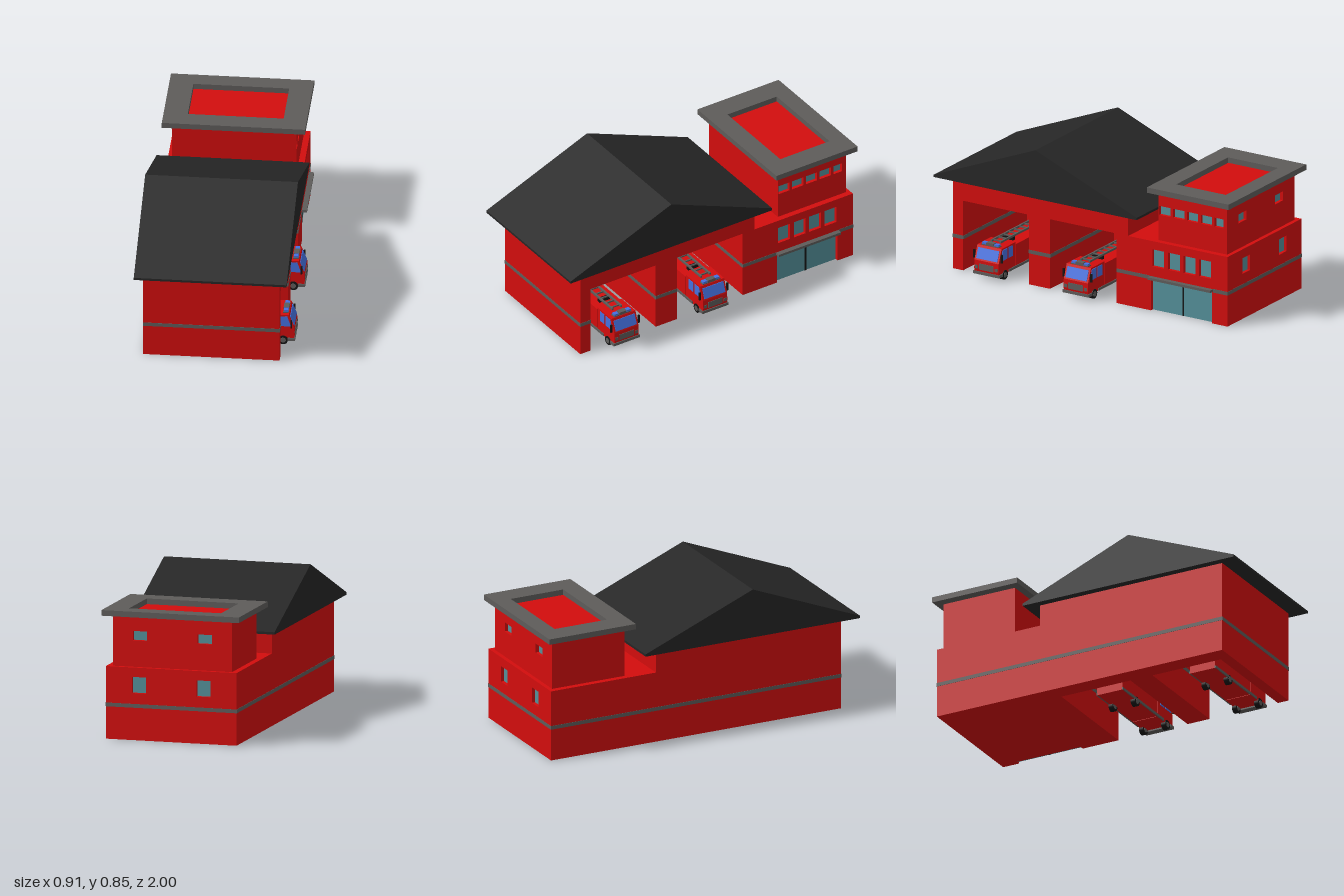
import * as THREE from 'three';

const mat = (name, color) => Object.assign(new THREE.MeshStandardMaterial({ color }), { name });
const M = {
  red: mat('red', 0xd20d0d), roof: mat('roofBlack', 0x262626), grey: mat('trimGrey', 0x5e5c5a),
  glass: mat('tealGlass', 0x549099), blue: mat('blueGlass', 0x4470e0), black: mat('rubberBlack', 0x141414),
};

function add(group, name, geometry, material) {
  const mesh = new THREE.Mesh(geometry, material);
  mesh.name = name;
  group.add(mesh);
  return mesh;
}

// Box given by its limits
function box(group, name, material, x0, x1, y0, y1, z0, z1) {
  const g = new THREE.BoxGeometry(x1 - x0, y1 - y0, z1 - z0);
  g.translate((x0 + x1) / 2, (y0 + y1) / 2, (z0 + z1) / 2);
  return add(group, name, g, material);
}

function shapeOf(points, holes = []) {
  const shape = new THREE.Shape(points.map(p => new THREE.Vector2(...p)));
  for (const [a0, a1, b0, b1] of holes) {
    shape.holes.push(new THREE.Path([[a0, b0], [a1, b0], [a1, b1], [a0, b1]].map(p => new THREE.Vector2(...p))));
  }
  return shape;
}

// Profile in (z, y), extruded along x
function sideSlab(group, name, material, points, x0, x1, holes = []) {
  const shape = shapeOf(points.map(([z, y]) => [-z, y]), holes.map(([a, b, c, d]) => [-b, -a, c, d]));
  const g = new THREE.ExtrudeGeometry(shape, { depth: x1 - x0, bevelEnabled: false });
  g.rotateY(Math.PI / 2).translate(x0, 0, 0);
  return add(group, name, g, material);
}

// Profile in (x, y), extruded along z
function frontSlab(group, name, material, points, z0, z1, holes = []) {
  const g = new THREE.ExtrudeGeometry(shapeOf(points, holes), { depth: z1 - z0, bevelEnabled: false });
  g.translate(0, 0, z0);
  return add(group, name, g, material);
}

const rect = (a0, a1, b0, b1) => [[a0, b0], [a1, b0], [a1, b1], [a0, b1]];
const openings = (centres, w, y0, y1) => centres.map(c => [c - w / 2, c + w / 2, y0, y1]);

const L = -0.41, R = 0.38, SKIN = 0.025, BAY_BACK = -0.3;
const BAYS = [[-0.22, 0.235], [0.38, 0.83]];
const DOOR = [-0.875, -0.455];
const BACK_X = [-0.21, 0.18];

function buildHall(root) {
  const g = new THREE.Group();
  g.name = 'mainBuilding';
  root.add(g);
  const notch = ([a, b], h) => [[a, 0], [a, h], [b, h], [b, 0]];
  const outline = lower => [[-0.955, 0], ...lower, [0.9, 0], [0.9, 0.555], [-0.3, 0.555], [-0.3, 0.425], [-0.955, 0.425]];
  const bayNotches = BAYS.flatMap(b => notch(b, 0.425));
  const lowWindows = openings([-0.505, -0.613, -0.719, -0.826], 0.08, 0.27, 0.375);
  const backWindows = openings(BACK_X, 0.085, 0.275, 0.37);

  // Solid side wall, hollow middle and pierced street wall
  sideSlab(g, 'closedSideWall', M.red, outline([]), L, BAY_BACK);
  sideSlab(g, 'bayWalls', M.red, outline(bayNotches), BAY_BACK, R - SKIN);
  sideSlab(g, 'streetWall', M.red, outline([...notch(DOOR, 0.195), ...bayNotches]), R - SKIN, R, lowWindows);
  frontSlab(g, 'backWall', M.red, rect(L, R, 0, 0.425), -0.98, -0.955, backWindows);

  // Glazing and entrance
  for (const [z0, z1, y0, y1] of lowWindows) box(g, 'officeWindow', M.glass, R - SKIN, R - SKIN + 0.005, y0, y1, z0, z1);
  for (const [x0, x1, y0, y1] of backWindows) box(g, 'backWindow', M.glass, x0, x1, y0, y1, -0.96, -0.955);
  box(g, 'entranceDoor', M.glass, R - SKIN, R - SKIN + 0.005, 0, 0.195, ...DOOR);
  box(g, 'doorMullion', M.black, R - SKIN, R - SKIN + 0.009, 0, 0.195, -0.67, -0.66);
  box(g, 'entranceCanopy', M.grey, R - SKIN, 0.41, 0.195, 0.21, -0.88, -0.45);

  // Painted band around the outside and inside the bays
  const t = 0.002, y0 = 0.19, y1 = 0.212;
  box(g, 'band', M.grey, L - t, L, y0, y1, -0.98 - t, 0.9 + t);
  box(g, 'band', M.grey, L, R, y0, y1, 0.9, 0.9 + t);
  box(g, 'band', M.grey, L, R, y0, y1, -0.98 - t, -0.98);
  for (const [a, b] of [[-0.98 - t, -0.88], [-0.45, -0.22], [0.235, 0.38], [0.83, 0.9 + t]]) {
    box(g, 'band', M.grey, R, R + t, y0, y1, a, b);
  }
  for (const [a, b] of BAYS) {
    box(g, 'bayBand', M.grey, BAY_BACK, BAY_BACK + t, y0, y1, a, b);
    box(g, 'bayBand', M.grey, BAY_BACK, R, y0, y1, a, a + t);
    box(g, 'bayBand', M.grey, BAY_BACK, R, y0, y1, b - t, b);
  }

  // Gable roof with a thin eave edge
  sideSlab(g, 'gableRoof', M.roof, [[1, 0.553], [1, 0.567], [0.305, 0.848], [-0.39, 0.567], [-0.39, 0.553]], -0.455, 0.43);
}

function buildTower(root) {
  const g = new THREE.Group();
  g.name = 'tower';
  root.add(g);
  const x0 = -0.375, x1 = 0.345, z0 = -0.955, z1 = -0.485, b = 0.425, t = 0.722;
  const side = openings([-0.528, -0.623, -0.718, -0.813, -0.908], 0.077, 0.58, 0.635);
  const back = openings(BACK_X, 0.085, 0.58, 0.635);
  box(g, 'towerCore', M.red, x0, x1 - SKIN, b, t, z0 + SKIN, z1);
  sideSlab(g, 'towerSideWall', M.red, rect(z0 + SKIN, z1, b, t), x1 - SKIN, x1, side.map(([a, c, d, e]) => [Math.max(a, z0 + SKIN + 0.001), c, d, e]));
  frontSlab(g, 'towerBackWall', M.red, rect(x0, x1, b, t), z0, z0 + SKIN, back);
  for (const [a, c, d, e] of side) box(g, 'towerWindow', M.glass, x1 - SKIN, x1 - SKIN + 0.005, d, e, Math.max(a, z0 + SKIN), c);
  for (const [a, c, d, e] of back) box(g, 'towerBackWindow', M.glass, a, c, d, e, z0 + SKIN - 0.005, z0 + SKIN);

  // Flat roof rim around a recessed deck
  const rim = new THREE.ExtrudeGeometry(shapeOf(rect(-0.43, 0.4, 0.44, 1), [[-0.29, 0.265, 0.555, 0.895]]), { depth: 0.033, bevelEnabled: false });
  rim.rotateX(-Math.PI / 2).translate(0, t, 0);
  add(g, 'roofRim', rim, M.grey);
}

function buildTruck(root, z) {
  const g = new THREE.Group();
  g.name = 'fireTruck';
  g.position.z = z;
  root.add(g);
  const W = 0.083;
  // Cab and body
  frontSlab(g, 'cab', M.red, [[0.27, 0.035], [0.445, 0.035], [0.45, 0.06], [0.448, 0.11], [0.416, 0.194], [0.27, 0.194]], -W, W);
  box(g, 'body', M.red, -0.15, 0.265, 0.035, 0.18, -W, W);
  box(g, 'frontBumper', M.grey, 0.41, 0.452, 0.026, 0.043, -0.09, 0.09);
  box(g, 'grille', M.grey, 0.445, 0.452, 0.055, 0.092, -0.05, 0.05);

  // Windscreen laid on the sloping cab front
  frontSlab(g, 'windscreen', M.blue, [[0.444, 0.12], [0.448, 0.12], [0.425, 0.18], [0.421, 0.18]], -0.072, 0.072);

  // Roof light bar
  box(g, 'lightBarBase', M.grey, 0.38, 0.412, 0.194, 0.2, -0.06, 0.06);
  box(g, 'lightBarMiddle', M.grey, 0.38, 0.412, 0.2, 0.213, -0.025, 0.025);
  for (const s of [-1, 1]) {
    const c = s * 0.042;
    box(g, 'beacon', M.blue, 0.384, 0.41, 0.2, 0.211, c - 0.014, c + 0.014);
    const sideZ = s * (W + 0.001);
    frontSlab(g, 'cabWindow', M.blue, [[0.36, 0.12], [0.428, 0.12], [0.407, 0.184], [0.36, 0.184]], sideZ - 0.002, sideZ + 0.002);
    box(g, 'rearCabWindow', M.blue, 0.3, 0.345, 0.12, 0.184, sideZ - 0.002, sideZ + 0.002);
    box(g, 'runningBoard', M.grey, -0.15, 0.34, 0.035, 0.05, sideZ - 0.004, sideZ + 0.004);
    box(g, 'mirror', M.black, 0.427, 0.436, 0.115, 0.165, s * 0.095 - 0.006, s * 0.095 + 0.006);
    box(g, 'headlight', M.grey, 0.444, 0.452, 0.06, 0.08, s * 0.068 - 0.01, s * 0.068 + 0.01);
    box(g, 'ladderRail', M.grey, -0.13, 0.35, 0.2, 0.212, s * 0.03 - 0.005, s * 0.03 + 0.005);

    // Wheels
    for (const x of [0.383, 0.02]) {
      for (const [name, r, w, m] of [['tyre', 0.028, 0.028, M.black], ['hub', 0.016, 0.032, M.grey]]) {
        const wheel = add(g, name, new THREE.CylinderGeometry(r, r, w, 16).rotateX(Math.PI / 2), m);
        wheel.position.set(x, 0.028, s * 0.073);
      }
    }
  }
  // Ladder rungs and supports
  for (let i = 0; i < 9; i++) {
    const x = -0.11 + i * 0.055;
    box(g, 'ladderRung', M.grey, x - 0.004, x + 0.004, 0.202, 0.21, -0.03, 0.03);
  }
  for (const x of [-0.08, 0.2]) box(g, 'ladderSupport', M.black, x, x + 0.02, 0.178, 0.202, -0.035, 0.035);
}

export function createModel() {
  const root = new THREE.Group();
  root.name = 'fireStation';
  buildHall(root);
  buildTower(root);
  for (const z of [0.627, 0.015]) buildTruck(root, z);
  return root;
}
